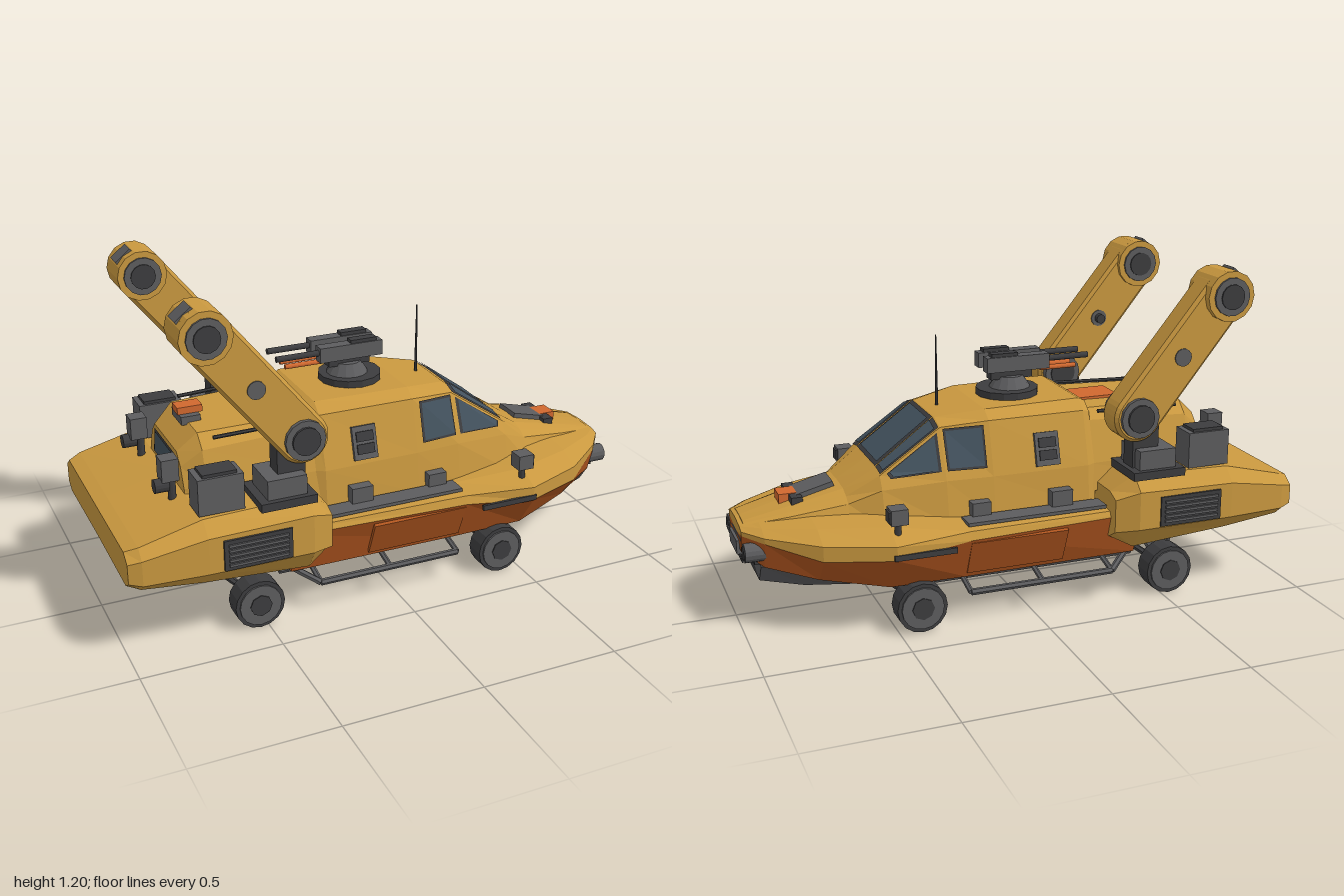
import * as THREE from 'three';

const mat = (name, color, side = THREE.FrontSide) => {
  const m = new THREE.MeshStandardMaterial({ color, flatShading: true, side });
  m.name = name;
  return m;
};

export function createModel() {
  const yellow = mat('yellow paint', 0xc9983f), orange = mat('rust orange', 0xb0561f);
  const bright = mat('bright orange', 0xd0682f), grey = mat('grey metal', 0x5c5c5e);
  const dark = mat('dark metal', 0x3c3c3e), glass = mat('glass', 0x43525e);
  const root = new THREE.Group();
  root.name = 'amphibiousRescueVehicle';

  const add = (name, geo, m, x = 0, y = 0, z = 0, parent = root) => {
    const mesh = new THREE.Mesh(geo, m);
    mesh.name = name;
    mesh.position.set(x, y, z);
    parent.add(mesh);
    return mesh;
  };
  const box = (name, m, w, h, d, x, y, z, parent) => add(name, new THREE.BoxGeometry(w, h, d), m, x, y, z, parent);
  const cyl = (name, m, r, len, axis, x, y, z, parent, r2 = r, n = 14) => {
    const g = new THREE.CylinderGeometry(r2, r, len, n);
    if (axis === 'x') g.rotateZ(-Math.PI / 2);
    if (axis === 'z') g.rotateX(Math.PI / 2);
    return add(name, g, m, x, y, z, parent);
  };
  const bar = (name, m, r, a, b) => {
    const p = new THREE.Vector3(...a), q = new THREE.Vector3(...b), d = q.clone().sub(p);
    const mesh = add(name, new THREE.CylinderGeometry(r, r, d.length(), 6), m);
    mesh.position.copy(p).add(q).multiplyScalar(0.5);
    mesh.quaternion.setFromUnitVectors(new THREE.Vector3(0, 1, 0), d.normalize());
  };
  const both = (fn) => [1, -1].forEach(fn);

  // Loft along x; each section is [x, [z, y]...] from top centre round to bottom centre, mirrored in z.
  const loft = (name, sections, bands) => {
    const rings = sections.map(([x, ...h]) => [
      ...h.map(([z, y]) => [x, y, z]),
      ...h.slice(1, -1).reverse().map(([z, y]) => [x, y, -z]),
    ]);
    const n = rings[0].length, pos = [], geo = new THREE.BufferGeometry();
    const mats = [...new Set(bands)];
    const bandOf = (j) => bands[j < n / 2 ? j : n - 1 - j];
    mats.forEach((m, k) => {
      const start = pos.length / 3;
      for (let j = 0; j < n; j++) {
        if (bandOf(j) !== m) continue;
        const l = (j + 1) % n;
        for (let i = 0; i + 1 < rings.length; i++) {
          const a = rings[i][j], b = rings[i][l], c = rings[i + 1][l], d = rings[i + 1][j];
          pos.push(...a, ...b, ...c, ...a, ...c, ...d);
        }
        [rings[0], rings.at(-1)].forEach((r, end) => {
          const mid = [r[0][0], (r[0][1] + r[n / 2][1]) / 2, 0];
          pos.push(...mid, ...(end ? r[j] : r[l]), ...(end ? r[l] : r[j]));
        });
      }
      geo.addGroup(start, pos.length / 3 - start, k);
    });
    geo.setAttribute('position', new THREE.Float32BufferAttribute(pos, 3));
    geo.computeVertexNormals();
    return add(name, geo, mats);
  };

  // Thin framed window on a quad given counter-clockwise from outside.
  const pane = (name, corners, flip = false) => {
    let p = corners.map((c) => new THREE.Vector3(...c));
    if (flip) p = p.map((v) => v.setZ(-v.z)).reverse();
    const mid = p.reduce((s, v) => s.add(v), new THREE.Vector3()).divideScalar(4);
    const nrm = p[2].clone().sub(p[0]).cross(p[3].clone().sub(p[1])).normalize();
    [[dark, 0.97, 0.004], [glass, 0.86, 0.008]].forEach(([m, k, off]) => {
      const q = p.map((v) => v.clone().lerp(mid, 1 - k).addScaledVector(nrm, off));
      const g = new THREE.BufferGeometry().setFromPoints([q[0], q[1], q[2], q[0], q[2], q[3]]);
      g.computeVertexNormals();
      add(m === glass ? name : name + 'Frame', g, m);
    });
  };

  // Hull, belly and rear pontoon
  loft('frontHull', [
    [-0.4, [0, 0.37], [0.29, 0.36], [0.37, 0.355], [0.38, 0.335], [0.33, 0.17], [0, 0.16]],
    [0.25, [0, 0.38], [0.3, 0.37], [0.395, 0.36], [0.405, 0.33], [0.335, 0.17], [0, 0.16]],
    [0.52, [0, 0.42], [0.33, 0.39], [0.42, 0.35], [0.42, 0.3], [0.33, 0.17], [0, 0.16]],
    [0.75, [0, 0.41], [0.25, 0.385], [0.33, 0.35], [0.33, 0.295], [0.25, 0.2], [0, 0.19]],
    [0.92, [0, 0.39], [0.15, 0.375], [0.2, 0.355], [0.2, 0.335], [0.17, 0.24], [0, 0.24]],
    [0.985, [0, 0.375], [0.09, 0.37], [0.12, 0.36], [0.12, 0.345], [0.1, 0.28], [0, 0.28]],
  ], [yellow, yellow, yellow, orange, grey]);
  loft('belly', [
    [-0.42, [0, 0.2], [0.28, 0.2], [0.22, 0.13], [0, 0.13]],
    [0.5, [0, 0.2], [0.31, 0.19], [0.2, 0.13], [0, 0.13]],
    [0.78, [0, 0.24], [0.24, 0.235], [0.15, 0.145], [0, 0.145]],
    [0.93, [0, 0.24], [0.16, 0.24], [0.11, 0.17], [0, 0.17]],
  ], [grey, grey, dark]);
  loft('rearPontoon', [
    [-0.995, [0, 0.41], [0.38, 0.41], [0.42, 0.38], [0.42, 0.31], [0.38, 0.285], [0, 0.29]],
    [-0.95, [0, 0.425], [0.4, 0.425], [0.435, 0.39], [0.435, 0.3], [0.4, 0.27], [0, 0.27]],
    [-0.73, [0, 0.485], [0.4, 0.48], [0.45, 0.43], [0.45, 0.3], [0.4, 0.245], [0, 0.24]],
    [-0.36, [0, 0.49], [0.4, 0.49], [0.455, 0.44], [0.455, 0.3], [0.4, 0.22], [0, 0.22]],
    [-0.28, [0, 0.43], [0.37, 0.43], [0.42, 0.41], [0.42, 0.29], [0.37, 0.26], [0, 0.26]],
  ], [yellow, yellow, yellow, yellow, yellow]);

  // Cabin and sloping bonnet
  const skin = Array(5).fill(yellow);
  loft('rearCabin', [
    [-0.73, [0, 0.61], [0.13, 0.61], [0.17, 0.57], [0.2, 0.5], [0.22, 0.4], [0, 0.4]],
    [-0.66, [0, 0.675], [0.15, 0.675], [0.2, 0.63], [0.24, 0.5], [0.25, 0.4], [0, 0.4]],
    [-0.26, [0, 0.685], [0.17, 0.685], [0.21, 0.65], [0.255, 0.5], [0.27, 0.4], [0, 0.4]],
  ], skin);
  loft('cabin', [
    [-0.27, [0, 0.71], [0.16, 0.71], [0.2, 0.68], [0.255, 0.5], [0.27, 0.35], [0, 0.35]],
    [-0.24, [0, 0.725], [0.17, 0.725], [0.215, 0.69], [0.27, 0.5], [0.285, 0.35], [0, 0.35]],
    [0.12, [0, 0.72], [0.17, 0.72], [0.215, 0.69], [0.265, 0.5], [0.285, 0.35], [0, 0.35]],
    [0.29, [0, 0.695], [0.12, 0.695], [0.185, 0.675], [0.255, 0.5], [0.28, 0.35], [0, 0.35]],
    [0.51, [0, 0.535], [0.125, 0.535], [0.185, 0.525], [0.215, 0.48], [0.25, 0.35], [0, 0.35]],
    [0.62, [0, 0.47], [0.1, 0.465], [0.14, 0.45], [0.17, 0.43], [0.21, 0.35], [0, 0.35]],
    [0.82, [0, 0.42], [0.08, 0.415], [0.11, 0.405], [0.13, 0.395], [0.15, 0.34], [0, 0.34]],
    [0.97, [0, 0.38], [0.06, 0.378], [0.08, 0.375], [0.09, 0.37], [0.1, 0.35], [0, 0.35]],
  ], skin);
  pane('windscreen', [[0.29, 0.695, -0.12], [0.29, 0.695, 0.12], [0.51, 0.535, 0.125], [0.51, 0.535, -0.125]]);
  pane('rearWindow', [[-0.73, 0.6, -0.12], [-0.73, 0.5, -0.15], [-0.73, 0.5, 0.15], [-0.73, 0.6, 0.12]]);
  both((s) => {
    const f = s < 0;
    pane('cornerWindow', [[0.29, 0.695, 0.12], [0.29, 0.675, 0.185], [0.51, 0.525, 0.185], [0.51, 0.535, 0.125]], f);
    pane('sideWindow', [[0.14, 0.68, 0.218], [0.14, 0.53, 0.26], [0.285, 0.53, 0.245], [0.285, 0.672, 0.188]], f);
    pane('quarterWindow', [[0.3, 0.66, 0.188], [0.3, 0.53, 0.241], [0.48, 0.515, 0.21], [0.49, 0.53, 0.192]], f);
    const hatch = box('doorWindow', grey, 0.09, 0.12, 0.015, -0.085, 0.575, s * 0.252);
    hatch.rotation.x = -s * 0.28;
    for (let i = 0; i < 2; i++) {
      box('doorWindowSlat', dark, 0.065, 0.035, 0.008, 0, i * 0.045 - 0.022, s * 0.009, hatch);
    }
    // Walkway, side boxes and deck lamps
    box('walkway', grey, 0.52, 0.012, 0.075, -0.01, 0.372, s * 0.33);
    box('deckLocker', grey, 0.08, 0.06, 0.04, -0.12, 0.405, s * 0.3);
    box('deckBlock', grey, 0.07, 0.05, 0.04, 0.18, 0.4, s * 0.29);
    box('sideSlot', dark, 0.22, 0.02, 0.01, 0.42, 0.31, s * 0.418);
    const sill = box('hullPanel', orange, 0.36, 0.14, 0.012, 0.07, 0.255, s * 0.369);
    sill.rotation.x = s * 0.39;
    cyl('lampPost', dark, 0.012, 0.06, 'y', 0.5, 0.4, s * 0.36);
    box('deckLamp', grey, 0.06, 0.055, 0.06, 0.5, 0.44, s * 0.36);
    box('deckLampLens', dark, 0.008, 0.04, 0.045, 0.532, 0.44, s * 0.36);
    // Louvred vent on the pontoon
    box('ventFrame', dark, 0.24, 0.11, 0.012, -0.56, 0.36, s * 0.454);
    for (let i = 0; i < 5; i++) box('ventSlat', grey, 0.21, 0.009, 0.012, -0.56, 0.324 + i * 0.018, s * 0.461);
    // Rear equipment
    box('equipmentBox', grey, 0.16, 0.13, 0.1, -0.66, 0.55, s * 0.34);
    box('equipmentLid', dark, 0.12, 0.012, 0.08, -0.66, 0.62, s * 0.34);
    box('armPedestal', grey, 0.14, 0.1, 0.15, -0.44, 0.53, s * 0.345);
    box('armPost', dark, 0.1, 0.2, 0.07, -0.41, 0.6, s * 0.345);
    box('pedestalFoot', dark, 0.2, 0.03, 0.19, -0.44, 0.495, s * 0.345);
    cyl('mast', dark, 0.014, 0.16, 'y', -0.77, 0.53, s * 0.19);
    box('mastLamp', grey, 0.06, 0.08, 0.06, -0.78, 0.585, s * 0.19);
    cyl('mastSpot', dark, 0.025, 0.05, 'x', -0.81, 0.53, s * 0.2);
    bar('roofRail', dark, 0.007, [-0.62, 0.67, s * 0.2], [-0.3, 0.68, s * 0.21]);
  });

  // Lifting arms
  const L = 0.526, boom = new THREE.Shape();
  boom.absarc(0, L, 0.088, 0, Math.PI, false);
  boom.absarc(0, 0, 0.09, Math.PI, Math.PI * 2, false);
  const boomGeo = new THREE.ExtrudeGeometry(boom, {
    depth: 0.085, bevelThickness: 0.012, bevelSize: 0.012, bevelOffset: -0.012, bevelSegments: 1, curveSegments: 8,
  }).translate(0, 0, -0.0425);
  both((s) => {
    const arm = new THREE.Group();
    arm.name = 'liftingArm';
    arm.position.set(-0.37, 0.7, s * 0.348);
    arm.rotation.z = Math.atan2(0.33, 0.41);
    root.add(arm);
    add('boom', boomGeo, yellow, 0, 0, 0, arm);
    cyl('shoulderJoint', grey, 0.072, 0.15, 'z', 0, 0, -s * 0.006, arm);
    cyl('shoulderCap', dark, 0.05, 0.164, 'z', 0, 0, -s * 0.004, arm);
    cyl('elbowCollar', yellow, 0.09, 0.15, 'z', 0, L, s * 0.006, arm);
    cyl('elbowJoint', grey, 0.068, 0.166, 'z', 0, L, s * 0.006, arm);
    cyl('elbowCap', dark, 0.045, 0.176, 'z', 0, L, s * 0.006, arm);
    box('elbowPad', grey, 0.07, 0.012, 0.07, 0, L + 0.086, 0, arm);
    cyl('boomPin', grey, 0.032, 0.118, 'z', 0, 0.26, 0, arm);
    cyl('boomKnob', dark, 0.018, 0.03, 'z', 0, 0.26, -s * 0.065, arm);
  });

  // Roof turret with rear-facing barrels
  cyl('turretRing', dark, 0.115, 0.025, 'y', -0.03, 0.735, 0);
  cyl('turretBase', grey, 0.08, 0.05, 'y', -0.04, 0.765, 0, root, 0.05);
  box('turretBody', dark, 0.16, 0.06, 0.05, -0.04, 0.81, 0);
  both((s) => {
    box('gunBody', grey, 0.24, 0.055, 0.045, -0.05, 0.845, s * 0.045);
    box('gunCover', dark, 0.1, 0.02, 0.035, 0, 0.875, s * 0.045);
    cyl('gunBarrel', dark, 0.011, 0.18, 'x', -0.24, 0.85, s * 0.045);
    cyl('lowerBarrel', bright, 0.009, 0.14, 'x', -0.22, 0.81, s * 0.025);
  });
  box('roofPanel', bright, 0.19, 0.01, 0.13, -0.355, 0.687, 0);
  box('rearHatch', grey, 0.07, 0.03, 0.11, -0.65, 0.682, 0);
  box('rearHatchLid', bright, 0.09, 0.025, 0.06, -0.645, 0.71, 0);
  cyl('antenna', dark, 0.006, 0.26, 'y', 0.24, 0.83, 0, root, 0.002, 6);

  // Bonnet vent, beacon and nose gear
  const vent = box('bonnetVent', grey, 0.14, 0.025, 0.11, 0.71, 0.45, 0);
  vent.rotation.z = -0.25;
  box('ventMouth', dark, 0.04, 0.035, 0.17, 0.78, 0.428, 0);
  box('beacon', bright, 0.09, 0.035, 0.075, 0.79, 0.43, 0);
  box('noseRecess', dark, 0.03, 0.08, 0.3, 0.935, 0.285, 0);
  box('winch', grey, 0.06, 0.05, 0.14, 0.965, 0.285, 0);
  both((s) => {
    cyl('headlamp', grey, 0.034, 0.07, 'x', 0.95, 0.295, s * 0.155);
    cyl('headlampLens', dark, 0.024, 0.078, 'x', 0.95, 0.295, s * 0.155);
    bar('noseBrace', grey, 0.009, [0.985, 0.295, s * 0.15], [0.975, 0.245, s * 0.08]);
  });
  [0.25, 0.325].forEach((y) => box('noseBar', dark, 0.02, 0.014, 0.22, 0.975, y, 0));

  // Wheels, suspension and side frames
  both((s) => {
    [-0.53, 0.42].forEach((x) => {
      cyl('tyre', dark, 0.09, 0.075, 'z', x, 0.092, s * 0.332, root, 0.09, 16);
      cyl('tyreShoulder', grey, 0.076, 0.088, 'z', x, 0.092, s * 0.332, root, 0.076, 16);
      cyl('hub', dark, 0.04, 0.096, 'z', x, 0.092, s * 0.332, root, 0.04, 8);
      bar('suspensionArm', grey, 0.018, [x, 0.17, s * 0.13], [x, 0.09, s * 0.3]);
      [-0.1, 0.1].forEach((d) => bar('wishbone', dark, 0.012, [x + d, 0.16, s * 0.18], [x, 0.09, s * 0.29]));
    });
    const [z1, z2] = [s * 0.26, s * 0.36];
    bar('stepRail', grey, 0.012, [-0.3, 0.12, z2], [0.24, 0.12, z2]);
    bar('innerRail', grey, 0.014, [-0.42, 0.145, z1], [0.34, 0.145, z1]);
    [-0.3, -0.03, 0.24].forEach((x) => bar('railStay', grey, 0.01, [x, 0.145, z1], [x, 0.12, z2]));
    bar('railStrut', grey, 0.012, [-0.44, 0.2, z1], [-0.3, 0.12, z2]);
  });
  box('rearAxleHousing', grey, 0.14, 0.1, 0.3, -0.53, 0.2, 0);

  return root;
}
